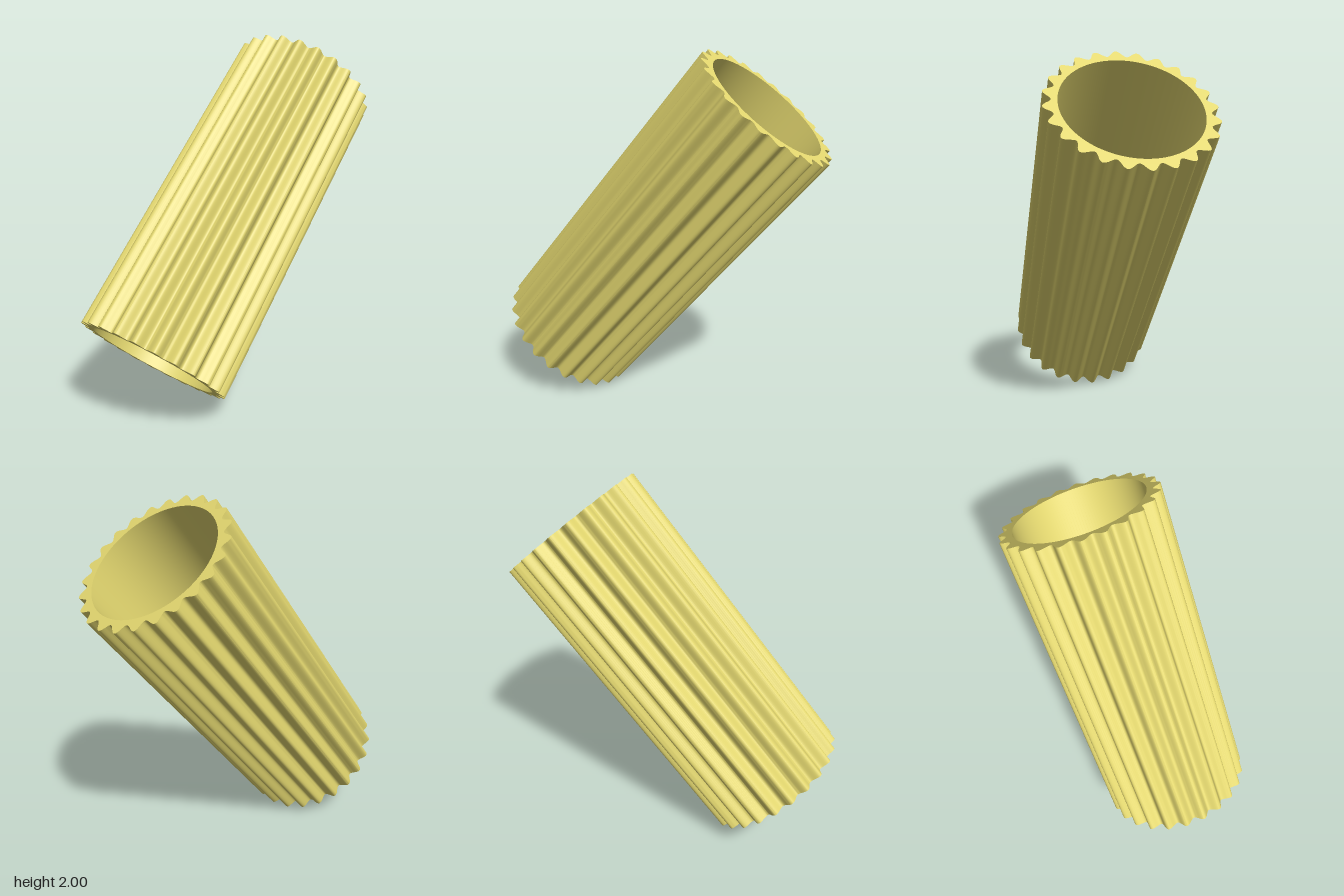
import * as THREE from 'three';
import { toCreasedNormals } from 'three/addons/utils/BufferGeometryUtils.js';

const LENGTH = 1.89, TILT = THREE.MathUtils.degToRad(40);
const RIBS = 24, STEPS_PER_RIB = 16;
const MEAN_RADIUS = 0.408, RIB_HEIGHT = 0.022, BORE_RADIUS = 0.355;

// Cross-section: rounded ribs around a plain circular bore
function ribbedSection() {
  const points = [];
  const count = RIBS * STEPS_PER_RIB;
  for (let i = 0; i < count; i++) {
    const a = (i / count) * Math.PI * 2;
    const r = MEAN_RADIUS + RIB_HEIGHT * Math.cos(RIBS * a);
    points.push(new THREE.Vector2(r * Math.cos(a), r * Math.sin(a)));
  }
  const shape = new THREE.Shape(points);
  shape.holes.push(new THREE.Path().absarc(0, 0, BORE_RADIUS, 0, Math.PI * 2, true));
  return shape;
}

export function createModel() {
  const group = new THREE.Group();
  group.name = 'ribbedTube';

  // Open tube, extruded along its axis and stood upright
  const extruded = new THREE.ExtrudeGeometry(ribbedSection(), {
    depth: LENGTH, bevelEnabled: false, curveSegments: 72,
  });
  extruded.translate(0, 0, -LENGTH / 2);
  extruded.rotateX(-Math.PI / 2);
  const material = new THREE.MeshStandardMaterial({ color: 0xe3d76f });
  const tube = new THREE.Mesh(toCreasedNormals(extruded, 0.8), material);
  tube.name = 'tubeWall';

  // Lean towards +x, resting on the lower rim
  tube.rotation.z = -TILT;
  tube.position.y = 1;
  group.add(tube);
  return group;
}
